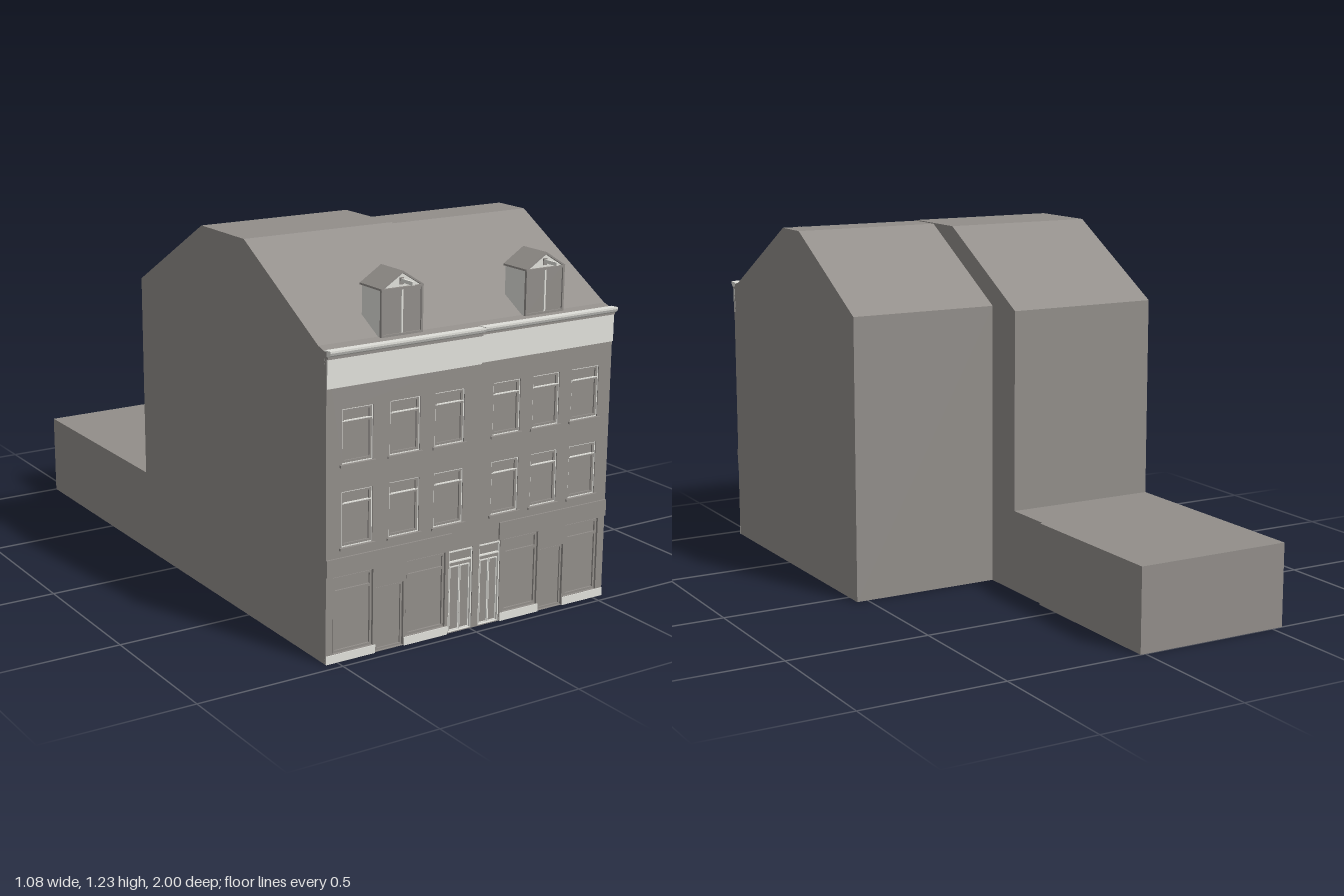
import * as THREE from 'three';

const wall = new THREE.MeshStandardMaterial({ color: 0x928e8a });
wall.name = 'warm grey';
const trim = new THREE.MeshStandardMaterial({ color: 0xe2e2dc });
trim.name = 'pale trim';

const FACE = 0.965; // front of the facade
const GLASS = 0.955; // front of the solid body behind it

function add(parent, name, geometry, material) {
  const mesh = new THREE.Mesh(geometry, material);
  mesh.name = name;
  parent.add(mesh);
  return mesh;
}

// Box given by its limits
function box(parent, name, material, x0, x1, y0, y1, z0, z1) {
  const g = new THREE.BoxGeometry(x1 - x0, y1 - y0, z1 - z0);
  g.translate((x0 + x1) / 2, (y0 + y1) / 2, (z0 + z1) / 2);
  return add(parent, name, g, material);
}

// Profile of [z, y] points swept from x0 to x1
function sweep(parent, name, material, points, x0, x1) {
  const shape = new THREE.Shape(points.map(([z, y]) => new THREE.Vector2(z, y)));
  const g = new THREE.ExtrudeGeometry(shape, { depth: x1 - x0, bevelEnabled: false });
  g.rotateY(-Math.PI / 2).translate(x1, 0, 0);
  return add(parent, name, g, material);
}

function rectPath(Type, x0, x1, y0, y1) {
  return new Type([[x0, y0], [x1, y0], [x1, y1], [x0, y1]].map(([x, y]) => new THREE.Vector2(x, y)));
}

// Thin rectangular frame standing on plane z
function frame(parent, name, material, x0, x1, y0, y1, t, z, depth) {
  const s = rectPath(THREE.Shape, x0, x1, y0, y1);
  s.holes.push(rectPath(THREE.Path, x0 + t, x1 - t, y0 + t, y1 - t));
  const g = new THREE.ExtrudeGeometry(s, { depth, bevelEnabled: false });
  return add(parent, name, g.translate(0, 0, z), material);
}

function addWindow(parent, x0, x1, y0, y1) {
  const g = new THREE.Group();
  g.name = 'sashWindow';
  parent.add(g);
  frame(g, 'windowReveal', trim, x0, x1, y0, y1, 0.003, GLASS, 0.007);
  frame(g, 'windowSash', wall, x0 + 0.003, x1 - 0.003, y0 + 0.003, y1 - 0.003, 0.007, GLASS, 0.005);
  const ty = y1 - 0.04;
  box(g, 'transom', wall, x0 + 0.003, x1 - 0.003, ty - 0.006, ty, GLASS, 0.961);
  box(g, 'transomEdge', trim, x0 + 0.003, x1 - 0.003, ty, ty + 0.003, GLASS, 0.962);
  box(g, 'windowSill', wall, x0 - 0.008, x1 + 0.008, y0 - 0.008, y0, GLASS, 0.972);
}

function addShopWindow(parent, x0, x1) {
  const g = new THREE.Group();
  g.name = 'shopWindow';
  parent.add(g);
  frame(g, 'shopWindowFrame', wall, x0 + 0.003, x1 - 0.003, 0.03, 0.272, 0.007, GLASS, 0.006);
  box(g, 'shopTransom', wall, x0 + 0.01, x1 - 0.01, 0.221, 0.23, GLASS, 0.961);
}

function addEntrance(parent, x0, x1) {
  const g = new THREE.Group();
  g.name = 'entrance';
  parent.add(g);
  frame(g, 'entranceFrame', trim, x0, x1, 0, 0.272, 0.004, GLASS, 0.007);
  box(g, 'entranceLintel', wall, x0 + 0.004, x1 - 0.004, 0.224, 0.234, GLASS, 0.963);
  box(g, 'entranceLintelEdge', trim, x0 + 0.004, x1 - 0.004, 0.234, 0.238, GLASS, 0.963);
  const m = (x0 + x1) / 2;
  [[x0 + 0.008, m - 0.001], [m + 0.001, x1 - 0.008]].forEach(([a, b]) =>
    frame(g, 'doorLeaf', trim, a, b, 0.006, 0.22, 0.003, GLASS, 0.004));
}

function addDormer(parent, cx) {
  const g = new THREE.Group();
  g.name = 'dormer';
  g.position.x = cx;
  parent.add(g);
  const w = 0.07;
  const house = new THREE.Shape([[-w, 0.985], [w, 0.985], [w, 1.13], [0, 1.174], [-w, 1.13]]
    .map(([x, y]) => new THREE.Vector2(x, y)));
  const body = new THREE.ExtrudeGeometry(house, { depth: 0.105, bevelEnabled: false });
  add(g, 'dormerBody', body.translate(0, 0, 0.832), trim);
  // Two sloping slabs of the roof
  const roof = new THREE.Shape([[-0.076, 1.127], [0, 1.174], [0.076, 1.127], [0.076, 1.133], [0, 1.181], [-0.076, 1.133]]
    .map(([x, y]) => new THREE.Vector2(x, y)));
  const roofG = new THREE.ExtrudeGeometry(roof, { depth: 0.116, bevelEnabled: false });
  add(g, 'dormerRoof', roofG.translate(0, 0, 0.829), wall);
  // Casement pair
  box(g, 'dormerGlass', wall, -w, w, 0.988, 1.13, 0.936, 0.94);
  frame(g, 'dormerFrame', wall, -0.075, 0.075, 0.986, 1.132, 0.007, 0.936, 0.009);
  box(g, 'dormerMullion', trim, -0.003, 0.003, 0.993, 1.125, 0.938, 0.944);
  // Hoist beam
  box(g, 'hoistPlate', wall, -0.007, 0.007, 1.139, 1.16, 0.935, 0.941);
  box(g, 'hoistBeam', trim, -0.004, 0.004, 1.146, 1.157, 0.93, 1.0);
}

export function createModel() {
  const model = new THREE.Group();
  model.name = 'terracedHouses';

  // Two adjoining house bodies with flat-topped roofs
  const houseFront = [[GLASS, 0], [GLASS, 0.975], [0.92, 0.985], [0.49, 1.23]];
  sweep(model, 'leftHouseBody', wall,
    [...houseFront, [0.22, 1.23], [-0.215, 0.98], [-0.215, 0]], -0.54, 0.008);
  sweep(model, 'rightHouseBody', wall,
    [...houseFront.slice(0, 3), [0.495, 1.227], [0.36, 1.227], [-0.065, 0.98], [-0.065, 0]], 0.008, 0.54);

  // Low rear extension
  box(model, 'rearExtension', wall, -0.54, 0.008, 0, 0.285, -0.4, -0.215);
  box(model, 'rearExtensionEnd', wall, -0.54, 0.018, 0, 0.285, -1, -0.4);

  // Facade sheet with openings
  const columns = [[-0.485, -0.375], [-0.315, -0.205], [-0.15, -0.04], [0.07, 0.175], [0.225, 0.33], [0.38, 0.49]];
  const storeys = [[0.365, 0.54], [0.625, 0.795]];
  const shopWindows = [[-0.515, -0.37], [-0.248, -0.1], [0.127, 0.265], [0.378, 0.513]];
  const shopDoors = [[-0.36, -0.257], [0.272, 0.37]];
  const entrances = [[-0.087, 0.005], [0.03, 0.113]];
  const sheet = rectPath(THREE.Shape, -0.54, 0.54, 0.001, 0.975);
  const cut = (x0, x1, y0, y1) => sheet.holes.push(rectPath(THREE.Path, x0, x1, y0, y1));
  storeys.forEach(([y0, y1]) => columns.forEach(([x0, x1]) => cut(x0, x1, y0, y1)));
  shopWindows.forEach(([x0, x1]) => cut(x0, x1, 0.028, 0.275));
  shopDoors.forEach(([x0, x1]) => cut(x0, x1, 0.003, 0.212));
  entrances.forEach(([x0, x1]) => cut(x0, x1, 0.003, 0.275));
  const facade = new THREE.ExtrudeGeometry(sheet, { depth: FACE - GLASS, bevelEnabled: false });
  add(model, 'facade', facade.translate(0, 0, GLASS), wall);

  storeys.forEach(([y0, y1]) => columns.forEach(([x0, x1]) => addWindow(model, x0, x1, y0, y1)));
  shopWindows.forEach(([x0, x1]) => addShopWindow(model, x0, x1));
  shopDoors.forEach(([x0, x1]) => frame(model, 'shopDoor', wall, x0 + 0.003, x1 - 0.003, 0.004, 0.209, 0.006, GLASS, 0.005));
  entrances.forEach(([x0, x1]) => addEntrance(model, x0, x1));

  // Shop fascias and pale plinths
  [[-0.54, -0.08], [0.105, 0.54]].forEach(([x0, x1]) =>
    box(model, 'shopFascia', wall, x0, x1, 0.28, 0.335, GLASS, 0.971));
  [[-0.54, -0.362], [-0.255, -0.09], [0.116, 0.27], [0.372, 0.54]].forEach(([x0, x1]) =>
    box(model, 'plinth', trim, x0, x1, 0, 0.027, GLASS, 0.968));

  // Frieze, shadow moulding and gutter on each house
  [[-0.54, 0.018, 0], [0.018, 0.54, 0.004]].forEach(([x0, x1, lift]) => {
    box(model, 'frieze', trim, x0, x1, 0.864 + lift, 0.954 + lift, GLASS, 0.97);
    box(model, 'corniceMoulding', wall, x0, x1, 0.953 + lift, 0.961 + lift, GLASS, 0.974);
    sweep(model, 'gutter', trim, [[GLASS, 0.961], [0.974, 0.961], [0.984, 0.967], [0.988, 0.975], [0.988, 0.981], [GLASS, 0.979]]
      .map(([z, y]) => [z, y + lift / 2]), x0, x1);
  });

  [-0.261, 0.277].forEach((x) => addDormer(model, x));
  return model;
}
